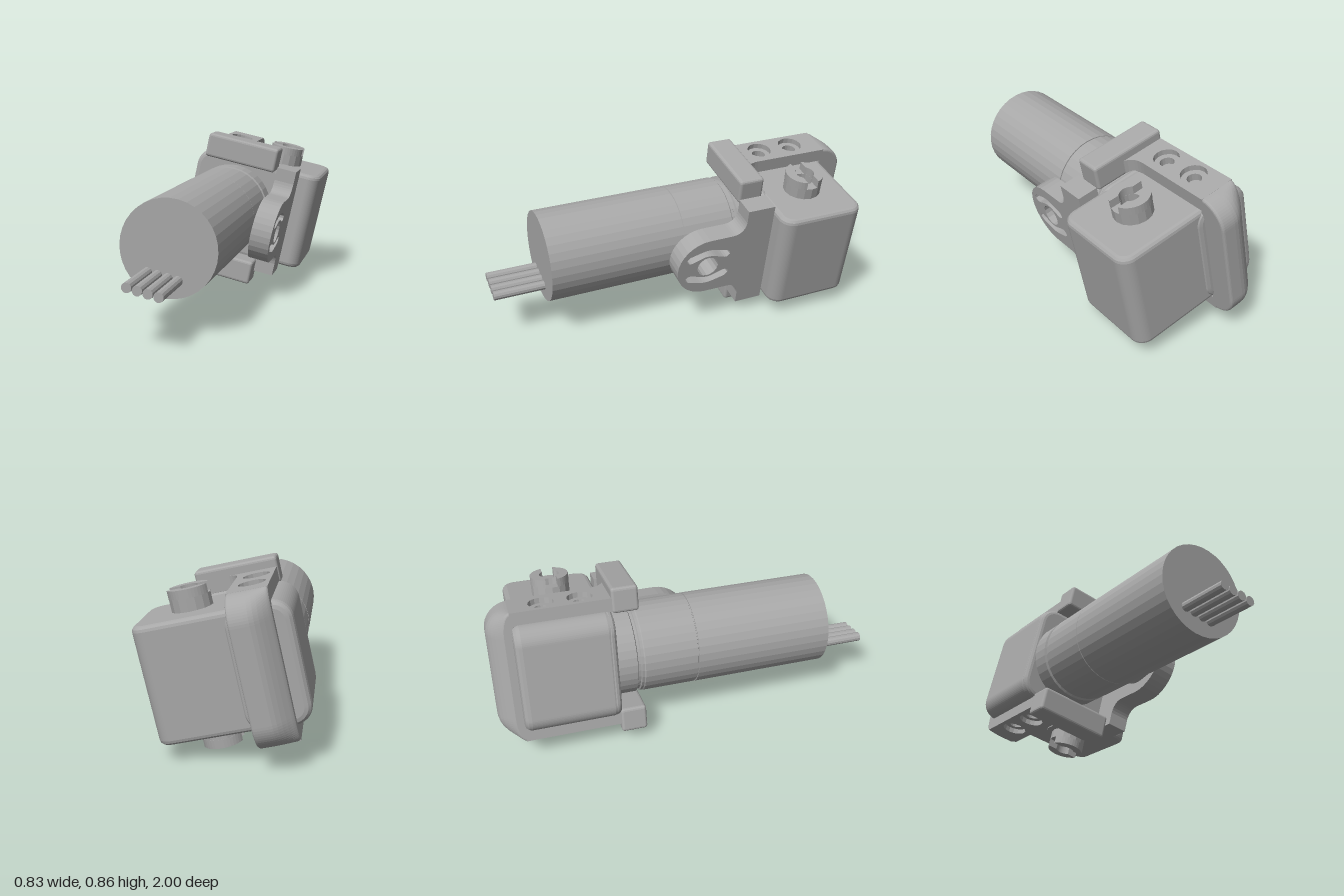
import * as THREE from 'three';

const grey = new THREE.MeshStandardMaterial({ color: 0xa8a8a8, flatShading: true });
grey.name = 'metal grey';

// Rounded rectangle spanning x0..x1, y0..y1
function roundRect(x0, x1, y0, y1, r) {
  const s = new THREE.Shape();
  s.absarc(x1 - r, y1 - r, r, 0, Math.PI / 2);
  s.absarc(x0 + r, y1 - r, r, Math.PI / 2, Math.PI);
  s.absarc(x0 + r, y0 + r, r, Math.PI, Math.PI * 1.5);
  s.absarc(x1 - r, y0 + r, r, Math.PI * 1.5, Math.PI * 2);
  s.closePath();
  return s;
}

function circle(x, y, r) {
  return new THREE.Path().absarc(x, y, r, 0, Math.PI * 2, false);
}

// Extrude from a to b with an inset bevel
function slab(shape, a, b, bevel = 0, steps = 1) {
  const g = new THREE.ExtrudeGeometry(shape, {
    depth: b - a - 2 * bevel, steps, curveSegments: 8, bevelEnabled: bevel > 0,
    bevelSize: bevel, bevelThickness: bevel, bevelOffset: -bevel, bevelSegments: 3,
  });
  return g.translate(0, 0, a + bevel);
}
// Shape in (x, -z), extruded upward
const upSlab = (...args) => slab(...args).rotateX(-Math.PI / 2);
// Shape in (-z, y), extruded sideways
const sideSlab = (...args) => slab(...args).rotateY(Math.PI / 2);

export function createModel() {
  const model = new THREE.Group();
  const body = new THREE.Group();
  body.name = 'gearmotor';
  body.position.set(-0.06, 0.435, 0);
  body.rotation.set(0, 0.0785, -0.22, 'ZYX');
  model.add(body);

  const add = (name, geometry) => {
    const m = new THREE.Mesh(geometry, grey);
    m.name = name;
    body.add(m);
  };
  const lathe = (pts) => new THREE.LatheGeometry(
    pts.map(([r, y]) => new THREE.Vector2(r, y)), 36).rotateX(Math.PI / 2);

  // Motor can and gearhead with its grooves
  add('motorCan', lathe([[0, 0.026], [0.237, 0.026], [0.237, 0.737], [0, 0.737]]));
  add('gearhead', lathe([[0.235, -0.4], [0.235, -0.295], [0.224, -0.29], [0.224, -0.277],
    [0.232, -0.273], [0.232, -0.26], [0.236, -0.255], [0.236, 0.02], [0.231, 0.022], [0.231, 0.028]]));

  // Four connector wires
  for (let i = 0; i < 4; i++) {
    const wire = new THREE.CylinderGeometry(0.024, 0.024, 0.28, 12).rotateX(Math.PI / 2);
    add('wire', wire.translate(-0.075 + i * 0.05, -0.135, 0.86));
  }

  // Housing: left half, square front flange, right box
  add('leftHousing', slab(roundRect(-0.252, 0.06, -0.285, 0.285, 0.09), -0.88, -0.393, 0.035));
  add('frontFlange', slab(roundRect(-0.252, 0.268, -0.286, 0.286, 0.1), -0.44, -0.39, 0.025));
  add('rightHousing', upSlab(roundRect(-0.1, 0.468, 0.404, 0.87, 0.07), -0.28, 0.278, 0.025));

  // Bracket straps with stepped screw holes, and raised clamp bars
  const strapShape = (holeRadius) => {
    const s = new THREE.Shape();
    s.moveTo(-0.172, 0.28);
    s.lineTo(0.22, 0.28);
    s.lineTo(0.22, 0.385);
    s.lineTo(0.1, 0.385);
    s.quadraticCurveTo(0.012, 0.385, 0.012, 0.475);
    s.lineTo(0.012, 0.88);
    s.lineTo(-0.172, 0.88);
    s.closePath();
    for (const z of [0.53, 0.72]) s.holes.push(circle(-0.088, z, holeRadius));
    return s;
  };
  const bar = roundRect(-0.178, 0.228, 0.255, 0.39, 0.015);
  for (const [name, side] of [['top', 1], ['bottom', -1]]) {
    const span = (a, b) => (side > 0 ? [a, b] : [-b, -a]);
    add(name + 'StrapInner', upSlab(strapShape(0.036), ...span(0.28, 0.322)));
    add(name + 'StrapOuter', upSlab(strapShape(0.064), ...span(0.322, 0.35)));
    add(name + 'ClampBar', upSlab(bar, ...span(0.268, 0.4), 0.015));
  }

  // Rear band joining the straps, rounded away toward its left-hand edge in plan
  const band = new THREE.Shape();
  band.moveTo(0.86, -0.35);
  band.absarc(0.87, -0.22, 0.13, -Math.PI / 2, 0);
  band.absarc(0.87, 0.22, 0.13, 0, Math.PI / 2);
  band.lineTo(0.86, 0.35);
  band.lineTo(0.86, -0.35);
  const bandGeometry = sideSlab(band, -0.172, 0.012, 0.012, 8);
  const p = bandGeometry.attributes.position;
  for (let i = 0; i < p.count; i++) {
    const t = Math.min(1, (p.getX(i) + 0.172) / 0.11);
    const reach = 0.35 + 0.65 * Math.sin(t * Math.PI / 2);
    if (p.getZ(i) < -0.88) p.setZ(i, -0.88 + (p.getZ(i) + 0.88) * reach);
  }
  add('rearBand', bandGeometry);

  // Side plate with a rounded ear, a centre hole and two wavy slots
  const plate = new THREE.Shape();
  const ear = 0.053;
  plate.moveTo(0.4, 0.305);
  plate.lineTo(0.25, 0.305);
  plate.lineTo(0.25, 0.235);
  plate.quadraticCurveTo(0.24, 0.17, 0.18, 0.168);
  plate.lineTo(ear, 0.168);
  plate.absarc(ear, 0, 0.168, Math.PI / 2, Math.PI * 1.5);
  plate.lineTo(0.18, -0.168);
  plate.quadraticCurveTo(0.24, -0.17, 0.25, -0.235);
  plate.lineTo(0.25, -0.305);
  plate.lineTo(0.4, -0.305);
  plate.closePath();
  plate.holes.push(circle(ear, 0, 0.058));
  for (const side of [1, -1]) {
    const lower = [], upper = [];
    for (let i = 0; i <= 16; i++) {
      const t = i / 8 - 1;
      const mid = 0.062 + 0.026 * Math.cos(t * Math.PI / 2) ** 2;
      const half = (0.02 + 0.008 * t * t) * Math.sqrt(Math.max(0.06, 1 - t ** 8));
      lower.push(new THREE.Vector2(ear + 0.12 * t, side * (mid - half)));
      upper.unshift(new THREE.Vector2(ear + 0.12 * t, side * (mid + half)));
    }
    plate.holes.push(new THREE.Path([...lower, ...upper]));
  }
  add('sidePlate', sideSlab(plate, 0.243, 0.351));

  // Slotted output hubs above and below the right box
  const ring = new THREE.Shape().absarc(0, 0, 0.098, 0, Math.PI * 2, false);
  ring.holes.push(circle(0, 0, 0.05));
  for (const side of [1, -1]) {
    const hub = new THREE.Group();
    hub.name = side > 0 ? 'topHub' : 'bottomHub';
    hub.position.set(0.216, 0, -0.634);
    if (side < 0) hub.rotation.x = Math.PI;
    const part = (name, g) => {
      const m = new THREE.Mesh(g, grey);
      m.name = name;
      hub.add(m);
    };
    if (side < 0) part('hubSeat', new THREE.CylinderGeometry(0.13, 0.13, 0.01, 28).translate(0, 0.281, 0));
    part('hubRing', upSlab(ring, 0.265, 0.338));
    for (const start of [0, Math.PI]) {
      const jaw = new THREE.Shape();
      jaw.absarc(0, 0, 0.098, start + 0.32, start + Math.PI - 0.32, false);
      jaw.absarc(0, 0, 0.05, start + Math.PI - 0.64, start + 0.64, true);
      jaw.closePath();
      part('hubJaw', upSlab(jaw, 0.338, 0.38));
    }
    body.add(hub);
  }
  return model;
}
